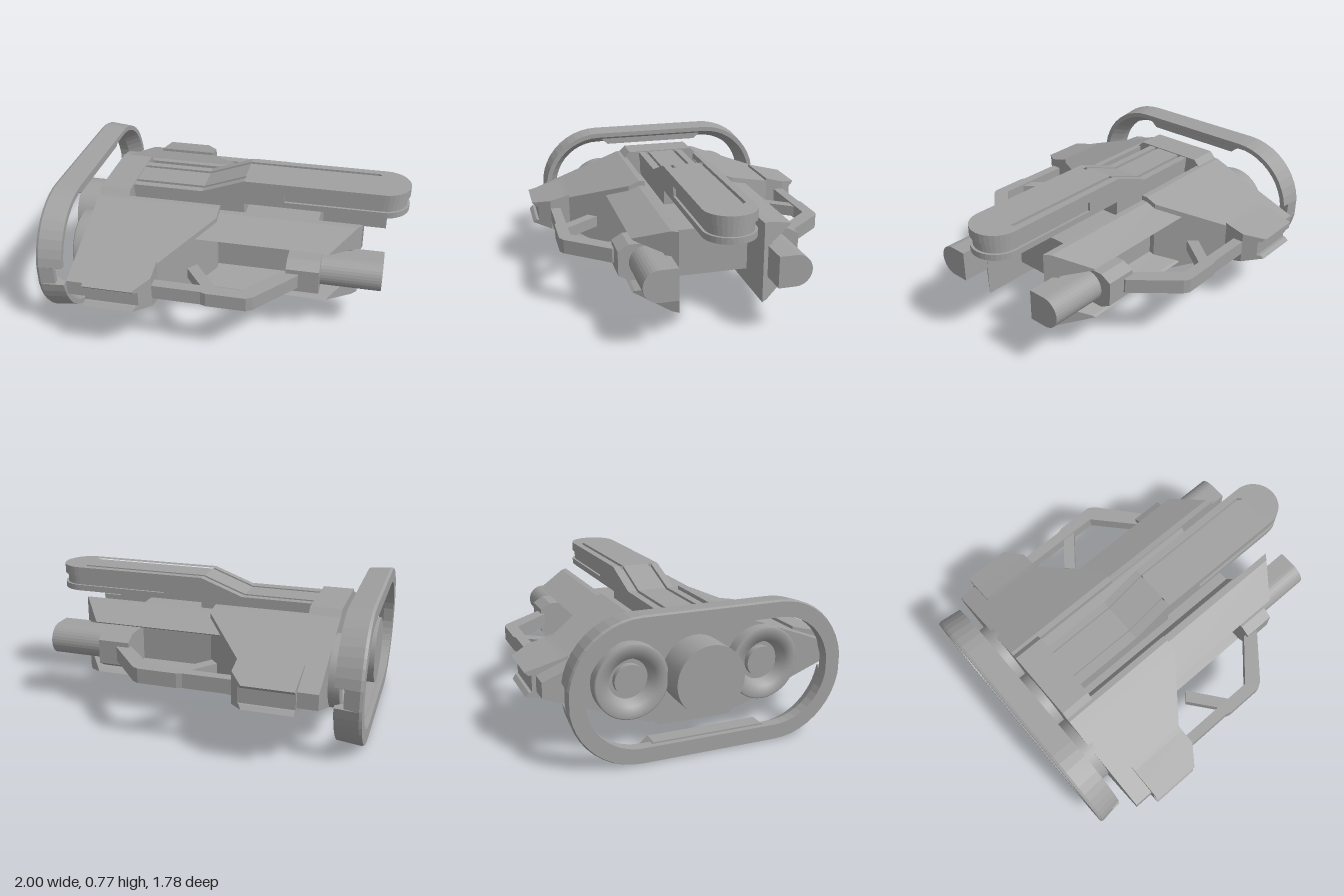
import * as THREE from 'three';

export function createModel() {
  const model = new THREE.Group();
  const hull = new THREE.MeshStandardMaterial({ color: 0xa0a0a0 });
  hull.name = 'hullGrey';
  const MID = 0.387; // height of the long axis

  const add = (name, geometry) => {
    const mesh = new THREE.Mesh(geometry, hull);
    mesh.name = name;
    model.add(mesh);
    return mesh;
  };
  const vecs = (pts) => pts.map(([a, b]) => new THREE.Vector2(a, b));
  const extrude = (shape, depth) =>
    new THREE.ExtrudeGeometry(shape, { depth, bevelEnabled: false, curveSegments: 20 });

  // Section given as [z, y], swept along x; nose(z) optionally slants the front end
  const prism = (name, pts, x0, x1, nose) => {
    const shape = new THREE.Shape(vecs(pts.map(([z, y]) => [-z, y])));
    const g = extrude(shape, x1 - x0).rotateY(Math.PI / 2).translate(x0, 0, 0);
    if (nose) {
      const p = g.attributes.position;
      for (let i = 0; i < p.count; i++)
        if (p.getX(i) > x1 - 0.001) p.setX(i, nose(Math.abs(p.getZ(i))));
      g.computeVertexNormals();
    }
    return add(name, g);
  };
  // Plan given as [x, z], raised from y0 to y1
  const plate = (name, pts, y0, y1, holes = []) => {
    const flip = (list) => vecs(list.map(([x, z]) => [x, -z]));
    const shape = new THREE.Shape(flip(pts));
    holes.forEach((h) => shape.holes.push(new THREE.Path(flip(h))));
    return add(name, extrude(shape, y1 - y0).rotateX(-Math.PI / 2).translate(0, y0, 0));
  };
  // Side profile given as [x, y], from z0 to z1
  const slab = (name, pts, z0, z1) =>
    add(name, extrude(new THREE.Shape(vecs(pts)), z1 - z0).translate(0, 0, z0));
  const box = (name, x0, x1, y0, y1, z0, z1) =>
    add(name, new THREE.BoxGeometry(x1 - x0, y1 - y0, z1 - z0)
      .translate((x0 + x1) / 2, (y0 + y1) / 2, (z0 + z1) / 2));
  const drum = (name, r, x0, x1, z) =>
    add(name, new THREE.CylinderGeometry(r, r, x1 - x0, 40)
      .rotateZ(Math.PI / 2).translate((x0 + x1) / 2, MID, z));

  // Rear ring: a bevelled section [x, r] carried round a stadium, notched at both sides
  const section = [[-1, 0.298], [-1, 0.38], [-0.985, 0.387], [-0.855, 0.374], [-0.855, 0.345], [-0.94, 0.298]];
  const angles = [];
  for (let i = 0; i <= 10; i++) angles.push(-Math.PI / 2 + (i / 10) * (Math.PI / 2 - 0.15));
  angles.push(-0.14, 0.14, ...angles.map((a) => -a).reverse());
  const stations = [...angles.map((a) => [0.378, a]), ...angles.map((a) => [-0.378, a + Math.PI])];
  const ringPos = [], ringIndex = [];
  const n = section.length, m = stations.length;
  stations.forEach(([zc, a], j) => {
    const notched = Math.abs(Math.sin(a)) < 0.145;
    section.forEach(([x, r], k) => {
      ringPos.push(notched ? Math.min(x, -0.905) : x, MID + r * Math.sin(a), zc + r * Math.cos(a));
      const a0 = j * n + k, a1 = j * n + ((k + 1) % n);
      const b0 = ((j + 1) % m) * n + k, b1 = ((j + 1) % m) * n + ((k + 1) % n);
      ringIndex.push(a0, a1, b0, a1, b1, b0);
    });
  });
  const ring = new THREE.BufferGeometry();
  ring.setAttribute('position', new THREE.Float32BufferAttribute(ringPos, 3));
  ring.setIndex(ringIndex);
  const ringFlat = ring.toNonIndexed();
  ringFlat.computeVertexNormals();
  add('rearRing', ringFlat);
  // Bars filling the inner bevel along the straight runs
  for (const s of [1, -1])
    prism('ringInnerBar', [[-0.38, 0.35], [0.38, 0.35], [0.31, 0.29], [-0.31, 0.29]]
      .map(([z, y]) => [z, MID + s * y]), -0.97, -0.885);

  // Rear engines
  drum('mainEngine', 0.19, -0.985, -0.7, 0);
  for (const s of [1, -1]) {
    const tube = [[0.203, 0], [0.203, 0.08], [0.195, 0.088], [0.13, 0.088], [0.1, 0]];
    add('sideEngineTube', new THREE.LatheGeometry(vecs(tube), 40)
      .rotateZ(Math.PI / 2).translate(-0.772, MID, s * 0.38));
    drum('sideEngineCore', 0.085, -0.83, -0.77, s * 0.38);
  }

  // Band round the rear of the body
  const c = 0.05;
  prism('rearBand', [[-0.26 + c, 0.1], [0.26 - c, 0.1], [0.26, 0.1 + c], [0.26, 0.68 - c],
    [0.26 - c, 0.68], [-0.26 + c, 0.68], [-0.26, 0.68 - c], [-0.26, 0.1 + c]], -0.795, -0.615);

  // Central body with a trough on top and a ramp beneath
  prism('centralBody', [[-0.24, 0.25], [0.24, 0.25], [0.24, 0.605], [0.225, 0.605], [0.18, 0.525],
    [-0.18, 0.525], [-0.225, 0.605], [-0.24, 0.605]], -0.7, 0.49);
  slab('bellyRamp', [[-0.62, 0.11], [-0.6, 0.11], [-0.55, 0.26], [-0.62, 0.26]], -0.22, 0.22);
  box('armPost', -0.62, 0.05, 0.5, 0.64, -0.14, 0.14);

  // Upper arm: rising rear part made of strips, with two grooves
  const rise = (d) => [[-0.62, 0.62], [0.05, 0.62], [0.05, 0.768 - d], [-0.2, 0.675 - d], [-0.62, 0.675 - d]];
  slab('armRearCentre', rise(0), -0.08, 0.08);
  for (const s of [1, -1]) {
    const strip = (name, a, b, d) => slab(name, rise(d), Math.min(s * a, s * b), Math.max(s * a, s * b));
    strip('armRearGroove', 0.08, 0.102, 0.02);
    strip('armRearEdge', 0.102, 0.145, 0);
  }
  // Upper arm: round ended front part with a groove along its side
  const tongue = (x0, w) => {
    const pts = [[x0, w], [x0, -w]];
    for (let i = 0; i <= 16; i++) {
      const a = -Math.PI / 2 + (Math.PI * i) / 16;
      pts.push([0.853 + w * Math.cos(a), w * Math.sin(a)]);
    }
    return pts;
  };
  const slot = (s) => [[0.052, s * 0.08], [0.83, s * 0.08], [0.81, s * 0.102], [0.052, s * 0.102]];
  plate('armTop', tongue(0.05, 0.145), 0.748, 0.768, [slot(1), slot(-1)]);
  plate('armUpper', tongue(0.05, 0.145), 0.712, 0.748);
  plate('armCore', tongue(0.05, 0.13), 0.655, 0.712);
  plate('armLower', tongue(0.05, 0.145), 0.62, 0.655);
  box('armSideFill', 0.05, 0.29, 0.655, 0.712, -0.145, 0.145);

  for (const s of [1, -1]) {
    const side = (pts) => pts.map(([z, y]) => [s * z, y]);
    // Section mirrored about the long axis, given by its upper half
    const mirrored = (pts) => side([...pts.map(([z, h]) => [z, MID + h]),
      ...pts.map(([z, h]) => [z, MID - h]).reverse()]);

    // Wing, thinning evenly outward: blunt root and swept outer part
    prism('wingRoot', mirrored([[0.23, 0.258], [0.265, 0.258], [0.33, 0.233]]), -0.795, -0.07);
    prism('wing', mirrored([[0.33, 0.233], [0.83, 0.043]]),
      -0.795, -0.07, (z) => -0.07 - (z - 0.33) * 0.78);

    // Wing tip pod: inner block and swept outer fins with a shallow channel
    prism('wingTipPod', mirrored([[0.66, 0.125], [0.69, 0.115], [0.78, 0.092]]), -0.685, -0.33);
    prism('wingTipFins', mirrored([[0.78, 0.092], [0.888, 0.065], [0.868, 0.045], [0.852, 0.045]]),
      -0.685, -0.33, (z) => -0.33 - (z - 0.78) * 0.74);

    // Forward hull, channelled on the outside and slanted at the front
    prism('forwardHull', mirrored([[0.235, 0.23], [0.27, 0.228], [0.455, 0.155], [0.44, 0.145], [0.3, 0.1]]),
      -0.3, 0.75, (z) => 0.75 - (z - 0.235) * 0.74);

    // Barrel, round outside and flat inside, in its mount
    const round = [[0.27, MID - 0.09]];
    for (let i = 0; i <= 16; i++) {
      const a = -Math.PI / 2 + (Math.PI * i) / 16;
      round.push([0.37 + 0.09 * Math.cos(a), MID + 0.09 * Math.sin(a)]);
    }
    round.push([0.27, MID + 0.09]);
    prism('barrel', side(round), 0.36, 0.885);
    prism('barrelMount', mirrored([[0.28, 0.105], [0.46, 0.105], [0.52, 0.07]]), 0.36, 0.545,
      () => 0.545);

    // Bent guard rod and its strut
    plate('guardRod', side([[0.72, -0.4], [0.72, 0.15], [0.5, 0.35], [0.5, 0.43], [0.53, 0.43],
      [0.77, 0.225], [0.79, 0.19], [0.79, -0.03], [0.78, -0.06], [0.78, -0.4]])
      .map(([z, x]) => [x, z]), 0.347, 0.43);
    plate('guardStrut', side([[0.74, -0.05], [0.74, 0.03], [0.52, -0.14], [0.57, -0.185]])
      .map(([z, x]) => [x, z]), 0.355, 0.42);
  }
  return model;
}
